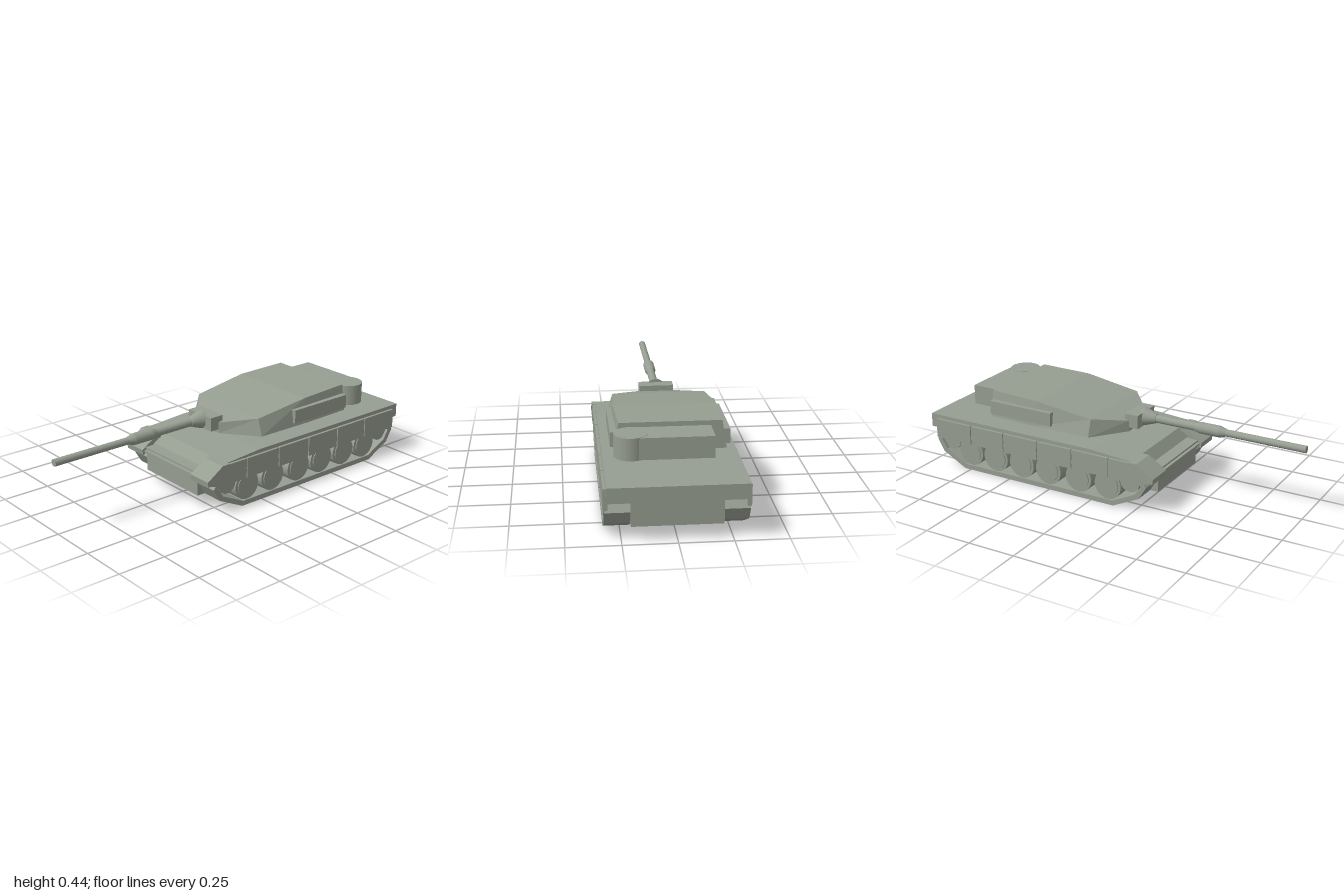
import * as THREE from 'three';

export function createModel() {
  const model = new THREE.Group();
  const paint = new THREE.MeshStandardMaterial({ color: 0x969d91 });
  paint.name = 'greyGreenPaint';

  const add = (name, geometry, x = 0, y = 0, z = 0) => {
    const mesh = new THREE.Mesh(geometry, paint);
    mesh.name = name;
    mesh.position.set(x, y, z);
    model.add(mesh);
    return mesh;
  };

  // Box given by its extents on each axis
  const box = (name, [x0, x1], [y0, y1], [z0, z1]) =>
    add(name, new THREE.BoxGeometry(x1 - x0, y1 - y0, z1 - z0), (x0 + x1) / 2, (y0 + y1) / 2, (z0 + z1) / 2);

  // Side profile of [z, y] points, extruded from x0 to x1, with an optional hole
  const toPoints = (list) => list.map(([z, y]) => new THREE.Vector2(z, y));
  const profile = (name, points, x0, x1, hole) => {
    const shape = new THREE.Shape(toPoints(points));
    if (hole) shape.holes.push(new THREE.Path(toPoints(hole)));
    const g = new THREE.ExtrudeGeometry(shape, { depth: x1 - x0, bevelEnabled: false });
    g.rotateY(-Math.PI / 2);
    return add(name, g, x1, 0, 0);
  };

  // Cylinder lying along x
  const disc = (name, radius, x, y, z, width) => {
    const g = new THREE.CylinderGeometry(radius, radius, width, 32);
    g.rotateZ(Math.PI / 2);
    return add(name, g, x, y, z);
  };

  // Hull
  profile('upperHull', [[-1, 0.2], [0.27, 0.2], [0.225, 0.257], [0, 0.273], [-1, 0.273]], -0.316, 0.316);
  box('lowerHull', [-0.208, 0.208], [0.073, 0.205], [-0.965, 0.32]);
  box('frontUpperBar', [-0.2, 0.2], [0.198, 0.207], [0.27, 0.335]);
  box('frontLowerBar', [-0.28, 0.28], [0.18, 0.192], [0.318, 0.345]);

  // Running gear, fenders and skirts on both sides
  const seams = [0.104, -0.11, -0.318, -0.527, -0.735, -0.962];
  const wheels = [0.094, -0.077, -0.258, -0.422, -0.585, -0.745];
  for (const s of [-1, 1]) {
    const span = (a, b) => (s > 0 ? [a, b] : [-b, -a]);

    profile('track',
      [[0.13, 0.002], [0.275, 0.073], [0.315, 0.14], [0.27, 0.195], [-0.92, 0.195], [-0.96, 0.14], [-0.92, 0.073], [-0.785, 0.002]],
      ...span(0.205, 0.326),
      [[0.125, 0.028], [-0.78, 0.028], [-0.9, 0.092], [-0.93, 0.14], [-0.905, 0.175], [0.255, 0.175], [0.285, 0.14], [0.255, 0.092]]);

    for (const z of wheels) {
      disc('roadWheel', 0.075, s * 0.268, 0.103, z, 0.1);
      disc('wheelCap', 0.06, s * 0.271, 0.103, z, 0.104);
    }
    for (const z of [0.215, -0.875]) disc('endWheel', 0.055, s * 0.265, 0.145, z, 0.09);

    profile('sideSkirt', [[0.25, 0.15], [0.258, 0.253], [0.107, 0.253], [0.107, 0.15]], ...span(0.314, 0.33));
    for (let i = 0; i < seams.length - 1; i++) {
      box('sideSkirt', span(0.314, 0.33), [0.15, 0.253], [seams[i + 1] + 0.003, seams[i] - 0.003]);
    }
    box('skirtBacking', span(0.31, 0.323), [0.152, 0.25], [-0.96, 0.25]);

    profile('frontFender', [[0.25, 0.235], [0.352, 0.165], [0.356, 0.195], [0.262, 0.256], [0.22, 0.257], [0.22, 0.235]],
      ...span(0.197, 0.332));
    profile('fenderGusset', [[0.25, 0.15], [0.32, 0.163], [0.345, 0.172], [0.25, 0.24]], ...span(0.316, 0.331));
  }

  // Turret lofted through four sections: z, lower half width, upper half width, top height
  const sections = [
    [0.085, 0.09, 0.087, 0.365],
    [-0.05, 0.264, 0.236, 0.396],
    [-0.36, 0.27, 0.25, 0.438],
    [-0.642, 0.262, 0.24, 0.445],
  ];
  const rings = sections.map(([z, low, high, top]) =>
    [[-low, 0.308, z], [low, 0.308, z], [high, top, z], [-high, top, z]]);
  const corners = [];
  const quad = (a, b, c, d) => corners.push(...a, ...b, ...c, ...a, ...c, ...d);
  quad(...rings[0]);
  quad(...[...rings[3]].reverse());
  for (let i = 0; i < 3; i++) {
    for (let j = 0; j < 4; j++) {
      const k = (j + 1) % 4;
      quad(rings[i][j], rings[i + 1][j], rings[i + 1][k], rings[i][k]);
    }
  }
  const turret = new THREE.BufferGeometry();
  turret.setAttribute('position', new THREE.Float32BufferAttribute(corners, 3));
  turret.computeVertexNormals();
  add('turret', turret);
  add('turretRing', new THREE.CylinderGeometry(0.19, 0.19, 0.027, 40), 0, 0.284, -0.317);
  for (const s of [-1, 1]) {
    box('turretSideBox', s > 0 ? [0.235, 0.279] : [-0.279, -0.235], [0.328, 0.399], [-0.635, -0.265]);
  }

  // Rear stowage
  box('rearBin', [-0.185, 0.19], [0.323, 0.427], [-0.805, -0.655]);
  add('rearDrum', new THREE.CylinderGeometry(0.079, 0.079, 0.107, 40), 0.19, 0.375, -0.733);

  // Gun
  box('mantlet', [-0.087, 0.087], [0.328, 0.399], [0.06, 0.135]);
  const barrel = [
    [0, 0.12], [0.048, 0.12], [0.046, 0.135], [0.024, 0.198], [0.021, 0.2], [0.021, 0.415], [0.029, 0.445],
    [0.029, 0.55], [0.018, 0.585], [0.018, 1], [0, 1],
  ];
  // Doubled points keep the ends crisp
  const outline = barrel.flatMap(([r, z]) => [new THREE.Vector2(r, z), new THREE.Vector2(r, z + 1e-5)]);
  outline[outline.length - 1].y = 1;
  const gun = new THREE.LatheGeometry(outline, 28);
  gun.rotateX(Math.PI / 2);
  add('gunBarrel', gun, 0, 0.369, 0);

  return model;
}
